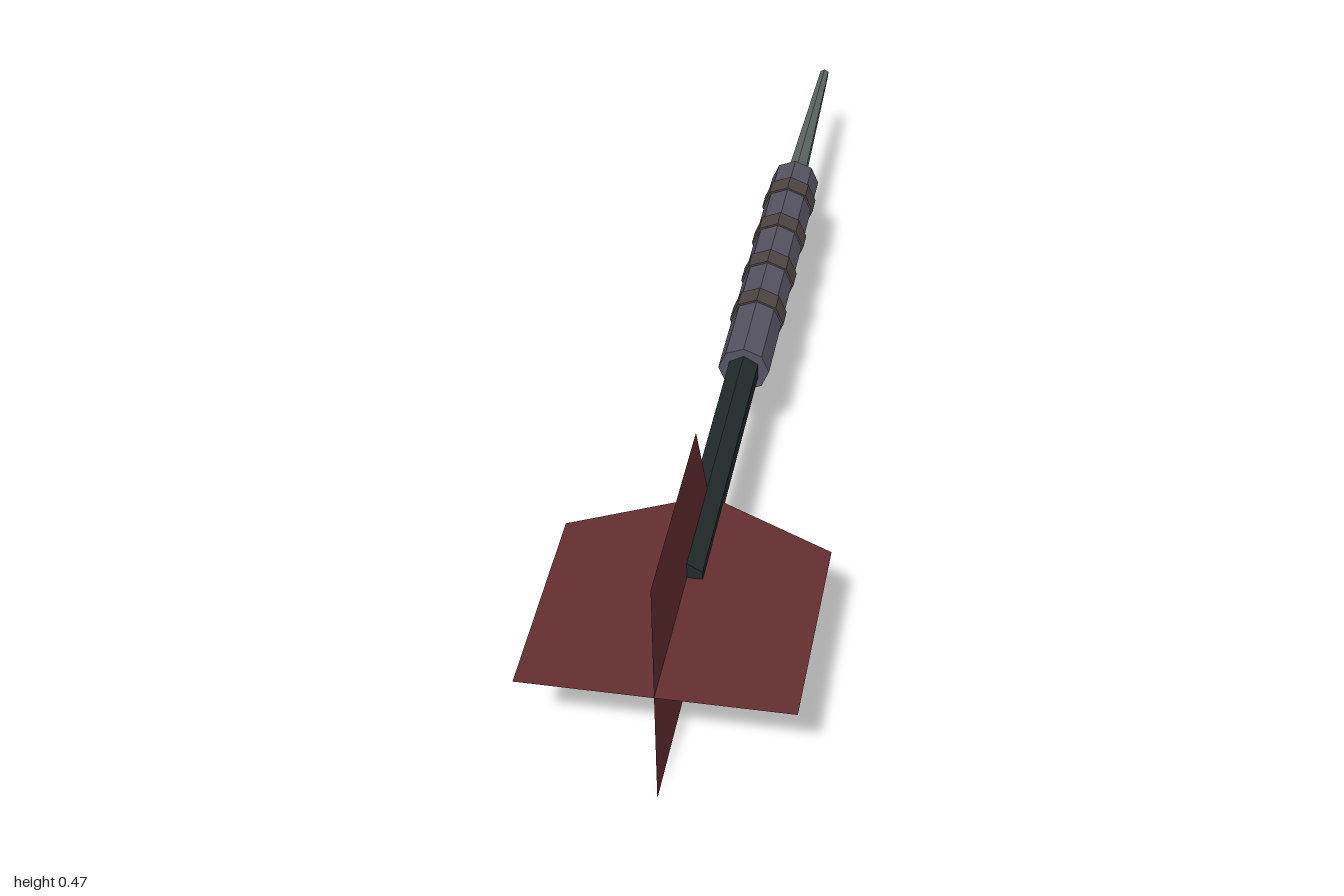
import * as THREE from 'three';

const AXIS_Y = 0.237;

const paint = (color) => new THREE.MeshStandardMaterial({ color, flatShading: true });

// Faceted rod along z, with a radius at each end
function rod(name, zBack, zFront, rBack, rFront, sides, material) {
  const geometry = new THREE.CylinderGeometry(rFront, rBack, zFront - zBack, sides);
  geometry.rotateX(Math.PI / 2);
  const mesh = new THREE.Mesh(geometry, material);
  mesh.name = name;
  mesh.position.z = (zBack + zFront) / 2;
  return mesh;
}

export function createModel() {
  const dart = new THREE.Group();
  dart.name = 'dart';
  dart.position.y = AXIS_Y;

  // Tapered metal point
  dart.add(rod('point', -1, -0.555, 0.01, 0.022, 6, paint(0x5f6864)));

  // Octagonal barrel with four grip rings
  dart.add(rod('barrel', -0.555, 0.11, 0.049, 0.049, 8, paint(0x555361)));
  const ringMaterial = paint(0x4d4543);
  for (let i = 0; i < 4; i++) {
    const z = -0.466 + i * 0.1333;
    dart.add(rod('gripRing' + (i + 1), z - 0.021, z + 0.021, 0.053, 0.053, 8, ringMaterial));
  }

  // Hexagonal shaft
  dart.add(rod('shaft', 0.11, 0.705, 0.032, 0.032, 6, paint(0x222a2a)));

  // Two crossed sheets forming four fins
  const outline = new THREE.Shape([
    [-0.03, 0.5], [0.03, 0.5], [AXIS_Y, 0.6], [AXIS_Y, 1], [-AXIS_Y, 1], [-AXIS_Y, 0.6],
  ].map(([x, z]) => new THREE.Vector2(x, z)));
  const finMaterial = paint(0x652f30);
  finMaterial.side = THREE.DoubleSide;
  ['horizontalFins', 'verticalFins'].forEach((name, i) => {
    const geometry = new THREE.ShapeGeometry(outline);
    geometry.rotateX(Math.PI / 2).rotateZ(i * Math.PI / 2);
    const fins = new THREE.Mesh(geometry, finMaterial);
    fins.name = name;
    dart.add(fins);
  });

  const model = new THREE.Group();
  model.add(dart);
  return model;
}
